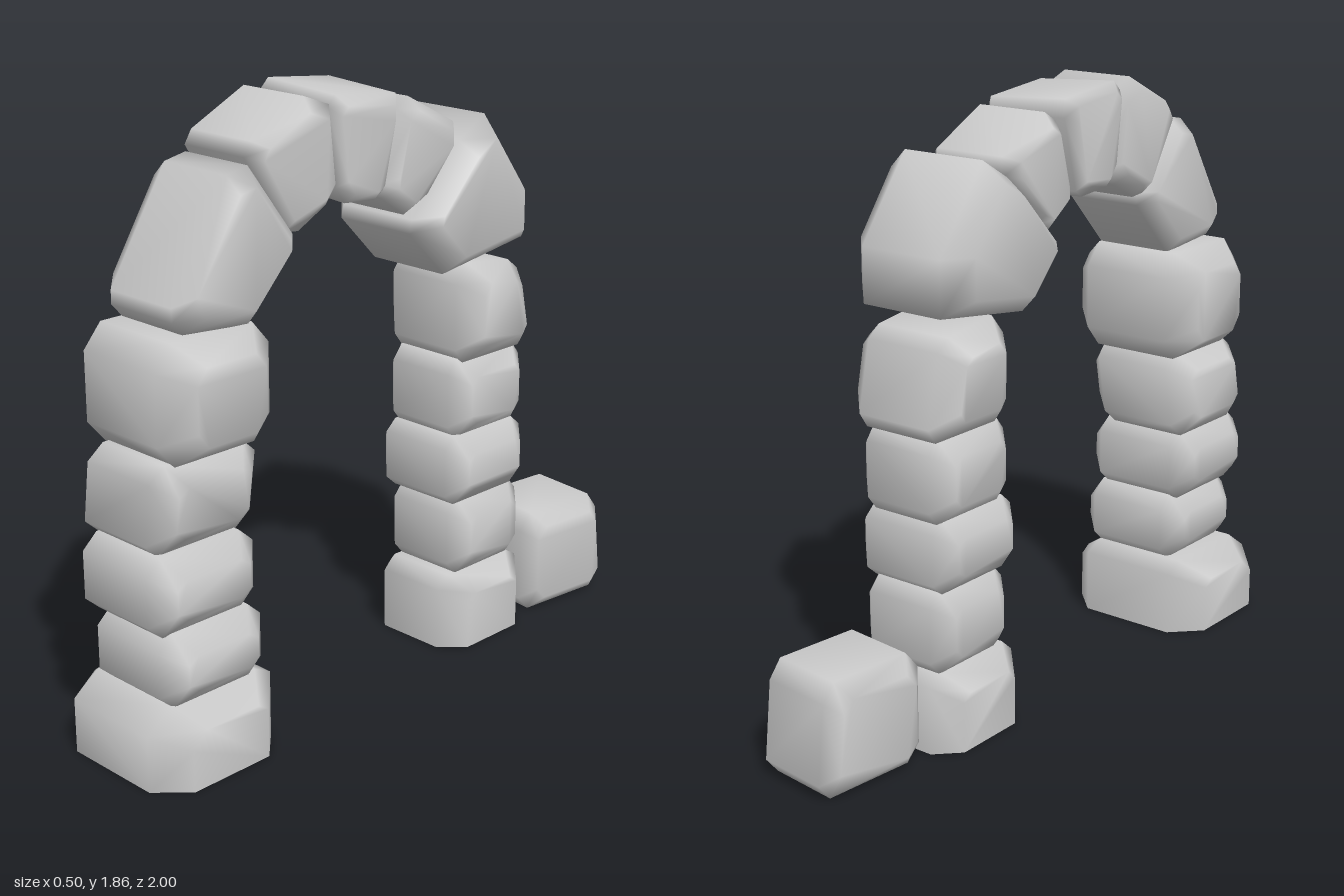
import * as THREE from 'three';
import { ConvexGeometry } from 'three/addons/geometries/ConvexGeometry.js';
import { mergeVertices } from 'three/addons/utils/BufferGeometryUtils.js';

const material = new THREE.MeshStandardMaterial({ color: 0xcccccc });
const openMaterial = new THREE.MeshStandardMaterial({ color: 0xcccccc, side: THREE.DoubleSide });

// Bevelled stone: a convex [z, y] outline spanning x0..x1, drawn in by the bevel at both ends.
// lean shears x with height, roll shears height with x, open leaves out the underside.
function stone(name, outline, x0, x1, bevel, { lean = 0, roll = 0, open = false } = {}) {
  const zs = outline.map((p) => p[0]), ys = outline.map((p) => p[1]);
  const zMin = Math.min(...zs), zMax = Math.max(...zs);
  const yMin = Math.min(...ys), yMax = Math.max(...ys);
  const zc = (zMin + zMax) / 2, yc = (yMin + yMax) / 2, xc = (x0 + x1) / 2;
  const sz = 1 - (2 * bevel) / (zMax - zMin);
  const drop = Math.min(bevel, 0.06);
  const sy = 1 - (2 * drop) / (yMax - yMin);
  const points = [];
  const add = (x, y, z) =>
    points.push(new THREE.Vector3(x + lean * (y - yc), y + roll * (x - xc), z));
  for (const [z, y] of outline) {
    const zi = zc + (z - zc) * sz;
    const yi = open ? y * (1 - drop / yMax) : yc + (y - yc) * sy;
    add(x0 + bevel, y, z);
    add(x1 - bevel, y, z);
    add(x0, yi, zi);
    add(x1, yi, zi);
  }
  let geometry = new ConvexGeometry(points);
  if (open) {
    const p = geometry.attributes.position, kept = [];
    for (let i = 0; i < p.count; i += 3) {
      if (Math.max(p.getY(i), p.getY(i + 1), p.getY(i + 2)) < 1e-4) continue;
      for (let j = i; j < i + 3; j++) kept.push(p.getX(j), p.getY(j), p.getZ(j));
    }
    geometry = new THREE.BufferGeometry();
    geometry.setAttribute('position', new THREE.Float32BufferAttribute(kept, 3));
  }
  geometry.deleteAttribute('normal');
  geometry = mergeVertices(geometry, 1e-4);
  geometry.computeVertexNormals();
  const mesh = new THREE.Mesh(geometry, open ? openMaterial : material);
  mesh.name = name;
  return mesh;
}

// Rectangle with cut corners
const block = (z0, z1, y0, y1, cz = 0.05, cy = 0.045) => [
  [z0 + cz, y0], [z1 - cz, y0], [z1, y0 + cy], [z1, y1 - cy],
  [z1 - cz, y1], [z0 + cz, y1], [z0, y1 - cy], [z0, y0 + cy],
];

export function createModel() {
  const model = new THREE.Group();
  model.name = 'stoneArch';
  const group = (name, stones) => {
    const g = new THREE.Group();
    g.name = name;
    g.add(...stones);
    model.add(g);
  };

  // Front pillar, from the ground up
  group('frontPillar', [
    stone('frontBase', [[0.54, 0], [1, 0], [1, 0.17], [0.91, 0.235], [0.6, 0.235], [0.54, 0.205]],
      -0.255, 0.25, 0.09, { open: true }),
    stone('frontStone1', block(0.575, 0.95, 0.225, 0.45), -0.165, 0.22, 0.06),
    stone('frontStone2', block(0.585, 0.97, 0.44, 0.675), -0.19, 0.205, 0.06),
    stone('frontStone3', block(0.57, 0.95, 0.665, 0.94), -0.188, 0.192, 0.06, { lean: 0.14 }),
    stone('frontCapital', block(0.525, 0.93, 0.93, 1.275, 0.06, 0.07), -0.215, 0.24, 0.08),
  ]);

  // Back pillar
  group('backPillar', [
    stone('backBase', [[-0.59, 0], [-0.215, 0], [-0.215, 0.2], [-0.26, 0.24], [-0.54, 0.24], [-0.59, 0.21]],
      -0.175, 0.195, 0.07, { open: true }),
    stone('backStone1', block(-0.58, -0.255, 0.235, 0.495, 0.04), -0.155, 0.18, 0.055),
    stone('backStone2', block(-0.575, -0.225, 0.485, 0.71, 0.04, 0.035), -0.165, 0.195, 0.055),
    stone('backStone3', block(-0.58, -0.25, 0.695, 0.955, 0.035), -0.16, 0.18, 0.055),
    stone('backCapital', [[-0.56, 0.945], [-0.3, 0.945], [-0.265, 0.99], [-0.26, 1.2], [-0.31, 1.26],
      [-0.5, 1.235], [-0.545, 1.2], [-0.59, 0.99]], -0.18, 0.205, 0.065),
  ]);

  // Curved run of stones from the front pillar over to the back pillar
  group('archStones', [
    stone('frontSpringer', [[0.865, 1.33], [0.865, 1.37], [0.665, 1.69], [0.59, 1.705], [0.43, 1.49],
      [0.43, 1.45], [0.6, 1.27], [0.83, 1.29]], -0.14, 0.21, 0.05),
    stone('frontArchStone', [[0.58, 1.72], [0.555, 1.76], [0.36, 1.855], [0.265, 1.82], [0.24, 1.59],
      [0.28, 1.54], [0.385, 1.485], [0.44, 1.49]], -0.145, 0.175, 0.04),
    stone('keystone', [[0.27, 1.82], [0.24, 1.85], [0, 1.825], [0, 1.77], [0.055, 1.55],
      [0.085, 1.53], [0.205, 1.54], [0.24, 1.59]], -0.165, 0.165, 0.03, { roll: -0.06 }),
    stone('backArchStone', [[-0.005, 1.77], [-0.055, 1.8], [-0.25, 1.7], [-0.25, 1.64], [-0.1, 1.48],
      [-0.04, 1.455], [0.055, 1.52], [0.055, 1.56]], -0.145, 0.17, 0.04),
    stone('backSpringer', [[-0.255, 1.645], [-0.365, 1.71], [-0.55, 1.465], [-0.55, 1.3], [-0.19, 1.25],
      [-0.045, 1.4], [-0.055, 1.44]], -0.2, 0.22, 0.07),
  ]);

  // Loose stone lying behind the arch, slightly turned
  const fallen = stone('fallenStone', [[0.14, 0], [0.185, 0.05], [0.185, 0.29], [0.14, 0.345],
    [-0.125, 0.345], [-0.165, 0.29], [-0.19, 0.05], [-0.15, 0]], -0.16, 0.16, 0.045);
  fallen.position.set(0.045, 0, -0.795);
  fallen.rotation.y = -0.11;
  model.add(fallen);

  return model;
}
